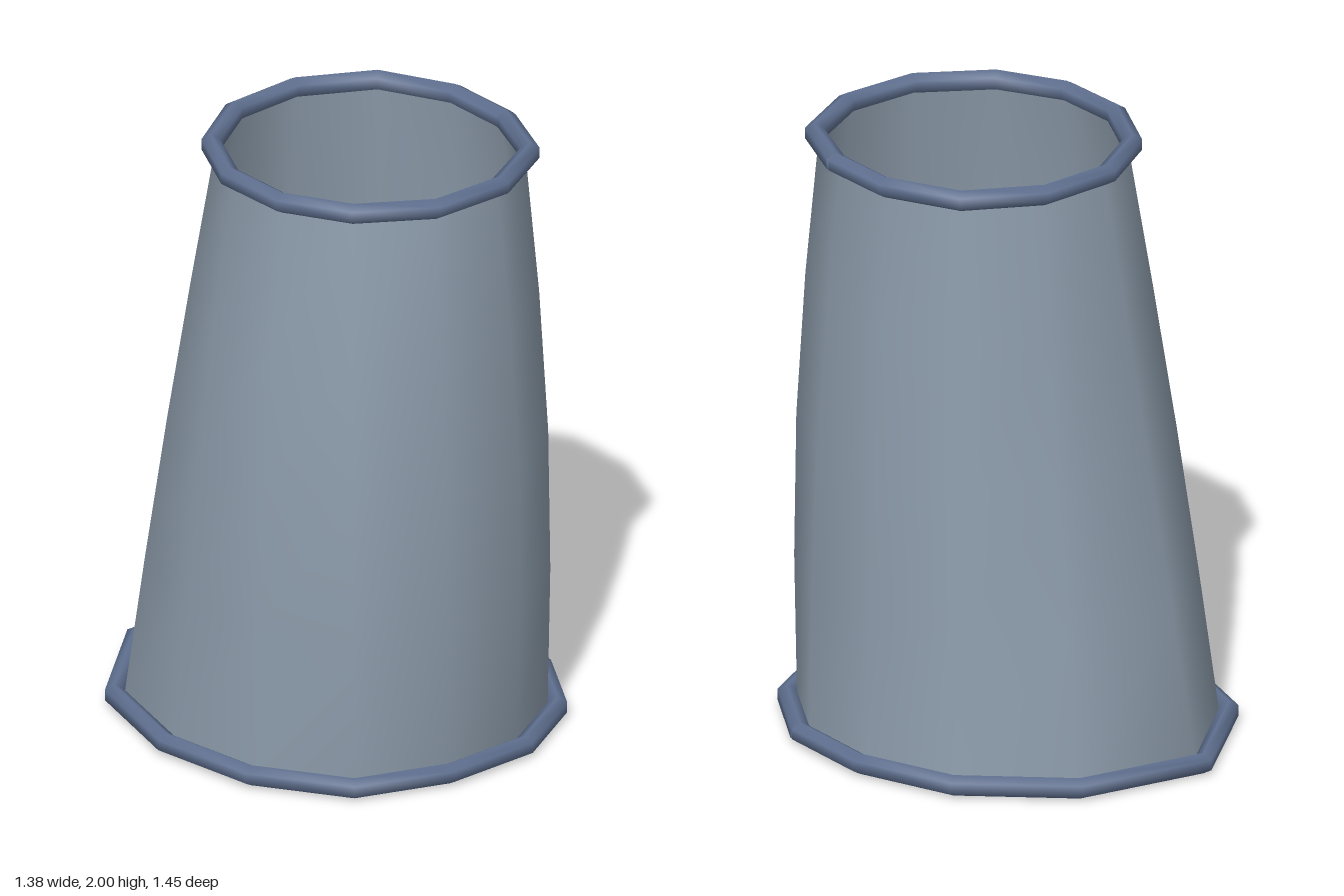
import * as THREE from 'three';

// Outline of each opening as [x, z], starting at +x and running round by the back
const BOTTOM = [[0.66, 0.09], [0.594, -0.226], [0.398, -0.512], [0.044, -0.7], [-0.4, -0.67], [-0.652, -0.308],
  [-0.665, 0.09], [-0.532, 0.426], [-0.28, 0.66], [0.042, 0.692], [0.346, 0.61], [0.568, 0.394]];
const TOP = [[0.535, 0.09], [0.476, -0.157], [0.304, -0.36], [0.042, -0.425], [-0.21, -0.348], [-0.385, -0.157],
  [-0.44, 0.09], [-0.377, 0.333], [-0.212, 0.51], [0.042, 0.593], [0.3, 0.528], [0.495, 0.344]];
const CENTRE = [0.04, 0.09];
const Y0 = 0.035, Y1 = 1.965, RIM_RADIUS = 0.035, LEVELS = 4;

const sleeveMaterial = new THREE.MeshStandardMaterial({ color: 0x8c9baa, side: THREE.DoubleSide });
const rimMaterial = new THREE.MeshStandardMaterial({ color: 0x5f7090, side: THREE.DoubleSide });

// Lofted sleeve: blends the two outlines and swells at mid height, most at the front
function sleeveGeometry() {
  const n = BOTTOM.length, positions = [], index = [];
  for (let j = 0; j <= LEVELS; j++) {
    const t = j / LEVELS;
    for (let i = 0; i < n; i++) {
      const x = THREE.MathUtils.lerp(BOTTOM[i][0], TOP[i][0], t);
      const z = THREE.MathUtils.lerp(BOTTOM[i][1], TOP[i][1], t);
      const out = new THREE.Vector2(x - CENTRE[0], z - CENTRE[1]).normalize();
      const inset = THREE.MathUtils.lerp(0.032, 0.015, t);
      const swell = Math.sin(Math.PI * t) * (0.024 + 0.027 * out.y);
      positions.push(x + out.x * (swell - inset), THREE.MathUtils.lerp(Y0, Y1, t), z + out.y * (swell - inset));
    }
  }
  for (let j = 0; j < LEVELS; j++) {
    for (let i = 0; i < n; i++) {
      const a = j * n + i, b = j * n + (i + 1) % n;
      index.push(a, b, b + n, a, b + n, a + n);
    }
  }
  const geometry = new THREE.BufferGeometry();
  geometry.setAttribute('position', new THREE.Float32BufferAttribute(positions, 3));
  geometry.setIndex(index);
  geometry.computeVertexNormals();
  return geometry;
}

// Rolled rim: an open-ended tube whose two ends meet at +x
function rimGeometry(outline, y) {
  const points = [...outline, outline[0]].map(([x, z]) => new THREE.Vector3(x, y, z));
  const path = new THREE.CatmullRomCurve3(points);
  // One straight tube section between each pair of outline points
  path.getPointAt = path.getPoint;
  path.getTangentAt = path.getTangent;
  return new THREE.TubeGeometry(path, outline.length, RIM_RADIUS, 6, false);
}

export function createModel() {
  const group = new THREE.Group();
  group.name = 'taperedSleeve';
  const add = (name, geometry, material) => {
    const mesh = new THREE.Mesh(geometry, material);
    mesh.name = name;
    group.add(mesh);
  };
  add('sleeve', sleeveGeometry(), sleeveMaterial);
  add('bottomRim', rimGeometry(BOTTOM, Y0), rimMaterial);
  add('topRim', rimGeometry(TOP, Y1), rimMaterial);
  return group;
}
